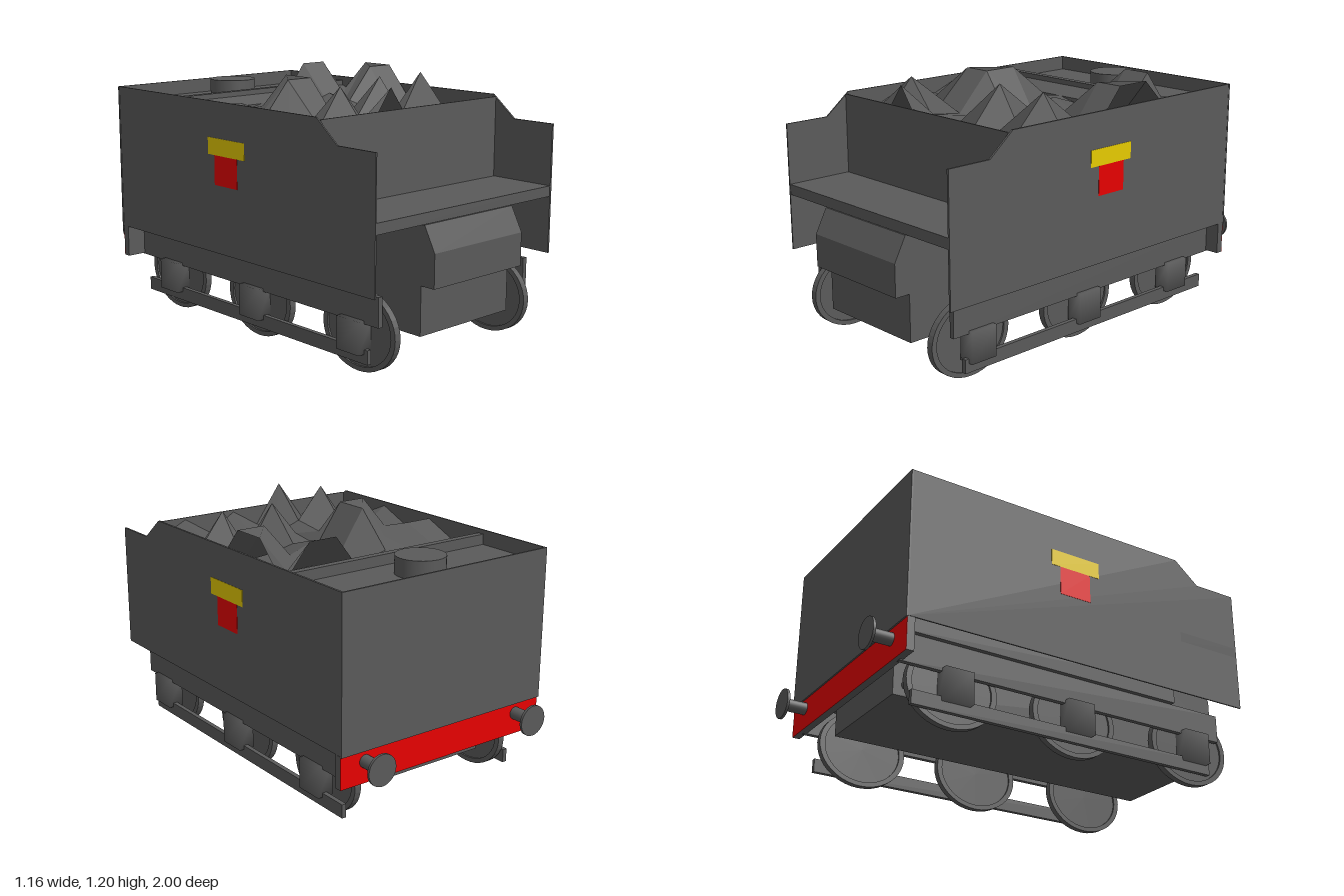
import * as THREE from 'three';
import { mergeVertices } from 'three/addons/utils/BufferGeometryUtils.js';

export function createModel() {
  const model = new THREE.Group();
  model.name = 'coalTender';
  const material = (name, color) => {
    const m = new THREE.MeshStandardMaterial({ color, side: THREE.DoubleSide });
    m.name = name;
    return m;
  };
  const grey = material('grey', 0x5a5a5a);
  const red = material('red', 0xe60000);
  const yellow = material('yellow', 0xe6ca00);

  const add = (name, geometry, mat = grey, parent = model) => {
    const mesh = new THREE.Mesh(geometry, mat);
    mesh.name = name;
    parent.add(mesh);
    return mesh;
  };
  // Box given by its limits on each axis
  const box = (name, x0, x1, y0, y1, z0, z1, mat = grey) => {
    const mesh = add(name, new THREE.BoxGeometry(x1 - x0, y1 - y0, z1 - z0), mat);
    mesh.position.set((x0 + x1) / 2, (y0 + y1) / 2, (z0 + z1) / 2);
    return mesh;
  };
  // Side profile in (z, y) extruded across x, starting at x0
  const sideExtrude = (name, points, x0, width) => {
    const shape = new THREE.Shape(points.map(([z, y]) => new THREE.Vector2(-z, y)));
    const g = new THREE.ExtrudeGeometry(shape, { depth: width, bevelEnabled: false });
    g.rotateY(Math.PI / 2);
    g.translate(x0, 0, 0);
    return add(name, g);
  };

  // Tank body, floor and shelf
  box('floor', -0.5, 0.5, 0.37, 0.47, -0.87, 0.59);
  box('tank', -0.565, 0.565, 0.47, 0.95, -0.88, 0.595);
  box('rearTankTop', -0.565, 0.565, 0.95, 1.04, -0.88, -0.49);
  sideExtrude('coalDivider', [[-0.49, 0.95], [-0.49, 1.09], [-0.455, 1.09], [-0.455, 1.065],
    [-0.36, 1.03], [-0.36, 0.95]], -0.565, 1.13);
  box('frontBulkhead', -0.565, 0.565, 0.7, 1.1, 0.598, 0.605);
  box('shelf', -0.575, 0.578, 0.665, 0.715, 0.59, 0.938);
  box('rearPanel', -0.577, 0.579, 0.39, 1.11, -0.889, -0.88);

  // Water filler on the rear tank
  add('fillerCap', new THREE.CylinderGeometry(0.115, 0.115, 0.09, 32)).position.set(-0.01, 1.08, -0.68);

  // Front chest with sloping top, and the deep well beneath the floor
  sideExtrude('frontChest', [[0.58, 0.395], [1, 0.395], [1, 0.55], [0.94, 0.663], [0.58, 0.663]], -0.283, 0.574);
  box('underWell', -0.283, 0.291, 0.17, 0.4, -0.79, 0.925);

  // Rear beam with its red face
  box('rearBeam', -0.573, 0.579, 0.24, 0.395, -0.88, -0.845);
  box('rearBeamFace', -0.573, 0.579, 0.24, 0.395, -0.882, -0.88, red);

  // Cross pipe through the well
  const pipe = add('crossPipe', new THREE.CylinderGeometry(0.02, 0.02, 0.72, 16));
  pipe.rotation.z = Math.PI / 2;
  pipe.position.set(0.01, 0.223, -0.73);

  // Softly shaded block for the axle boxes
  const softBox = new THREE.BoxGeometry(0.078, 0.15, 0.14);
  softBox.deleteAttribute('normal');
  softBox.deleteAttribute('uv');
  const axleBoxGeometry = mergeVertices(softBox);
  axleBoxGeometry.computeVertexNormals();

  // Wheel with a raised rim and a recessed web, axis along x
  const wheelProfile = [[0, -0.008], [0.163, -0.008], [0.163, -0.016], [0.185, -0.016],
    [0.185, 0.016], [0.163, 0.016], [0.163, 0.008], [0, 0.008]];
  const wheelGeometry = new THREE.LatheGeometry(wheelProfile.map(([r, y]) => new THREE.Vector2(r, y)), 40)
    .toNonIndexed();
  wheelGeometry.computeVertexNormals();
  wheelGeometry.rotateZ(Math.PI / 2);
  wheelGeometry.scale(1, 1, 1.2);

  for (const side of [-1, 1]) {
    const label = side > 0 ? 'left' : 'right';

    // Side sheet with the stepped front corner
    sideExtrude(label + 'SidePanel', [[0.94, 0.395], [0.94, 1.005], [0.715, 1.005], [0.585, 1.11],
      [-0.88, 1.11], [-0.88, 0.395]], side > 0 ? 0.568 : -0.575, 0.01 - (side < 0 ? 0.003 : 0));

    // Painted badge
    const x0 = side > 0 ? 0.578 : -0.5765;
    box(label + 'BadgeTop', x0, x0 + 0.0015, 0.86, 0.94, -0.157, 0.108, yellow);
    box(label + 'BadgeDrop', x0, x0 + 0.0015, 0.72, 0.86, -0.11, 0.055, red);

    // Running gear
    const fx = side * 0.48 + 0.015;
    box(label + 'FrameRail', fx - 0.012, fx + 0.012, 0.235, 0.37, -0.86, 0.865);
    box(label + 'LowerRail', fx - 0.011, fx + 0.011, 0.055, 0.12, -0.8, 0.8);
    for (const z of [0.71, 0.043, -0.588]) {
      add(label + 'Wheel', wheelGeometry).position.set(side * 0.427, 0.186, z);
      add(label + 'AxleBox', axleBoxGeometry).position.set(fx - 0.005, 0.174, z);
    }

    // Rear bumper: shaft and round head
    const bumper = new THREE.Group();
    bumper.name = label + 'Bumper';
    bumper.position.set(side * 0.44 + 0.008, 0.342, 0);
    bumper.rotation.x = Math.PI / 2;
    model.add(bumper);
    add('bumperShaft', new THREE.CylinderGeometry(0.03, 0.03, 0.16, 20), grey, bumper).position.y = -0.91;
    add('bumperHead', new THREE.CylinderGeometry(0.073, 0.073, 0.012, 28), grey, bumper).position.y = -0.994;
  }

  // Coal: a faceted height grid with chosen peaks and lower lumps, keyed by column and row
  let seed = 7;
  const random = () => (seed = (seed * 16807) % 2147483647) / 2147483647;
  const columns = 8, rows = 6;
  const peaks = new Set(['3,6', '2,5', '5,4', '7,4', '2,3', '3,3', '3,2', '7,2', '8,2', '8,1', '6,0', '7,0']);
  const lumps = new Set(['0,2', '1,2', '0,4', '5,2', '7,6', '5,6']);
  const coalGeometry = new THREE.PlaneGeometry(1.125, 1.05, columns, rows);
  coalGeometry.rotateX(-Math.PI / 2);
  coalGeometry.translate(-0.004, 0, 0.075);
  const position = coalGeometry.attributes.position;
  for (let j = 0; j <= rows; j++) {
    for (let i = 0; i <= columns; i++) {
      const key = i + ',' + j;
      const low = 0.985 + 0.06 * random();
      position.setY(j * (columns + 1) + i, peaks.has(key) ? 1.2 : lumps.has(key) ? 1.09 : low);
    }
  }
  const coal = coalGeometry.toNonIndexed();
  coal.computeVertexNormals();
  // One shared normal for the two triangles of each cell
  const normal = coal.attributes.normal;
  const first = new THREE.Vector3(), second = new THREE.Vector3();
  for (let k = 0; k < normal.count; k += 6) {
    first.fromBufferAttribute(normal, k);
    second.fromBufferAttribute(normal, k + 3);
    first.add(second).normalize();
    for (let n = 0; n < 6; n++) normal.setXYZ(k + n, first.x, first.y, first.z);
  }
  add('coal', coal);

  return model;
}
